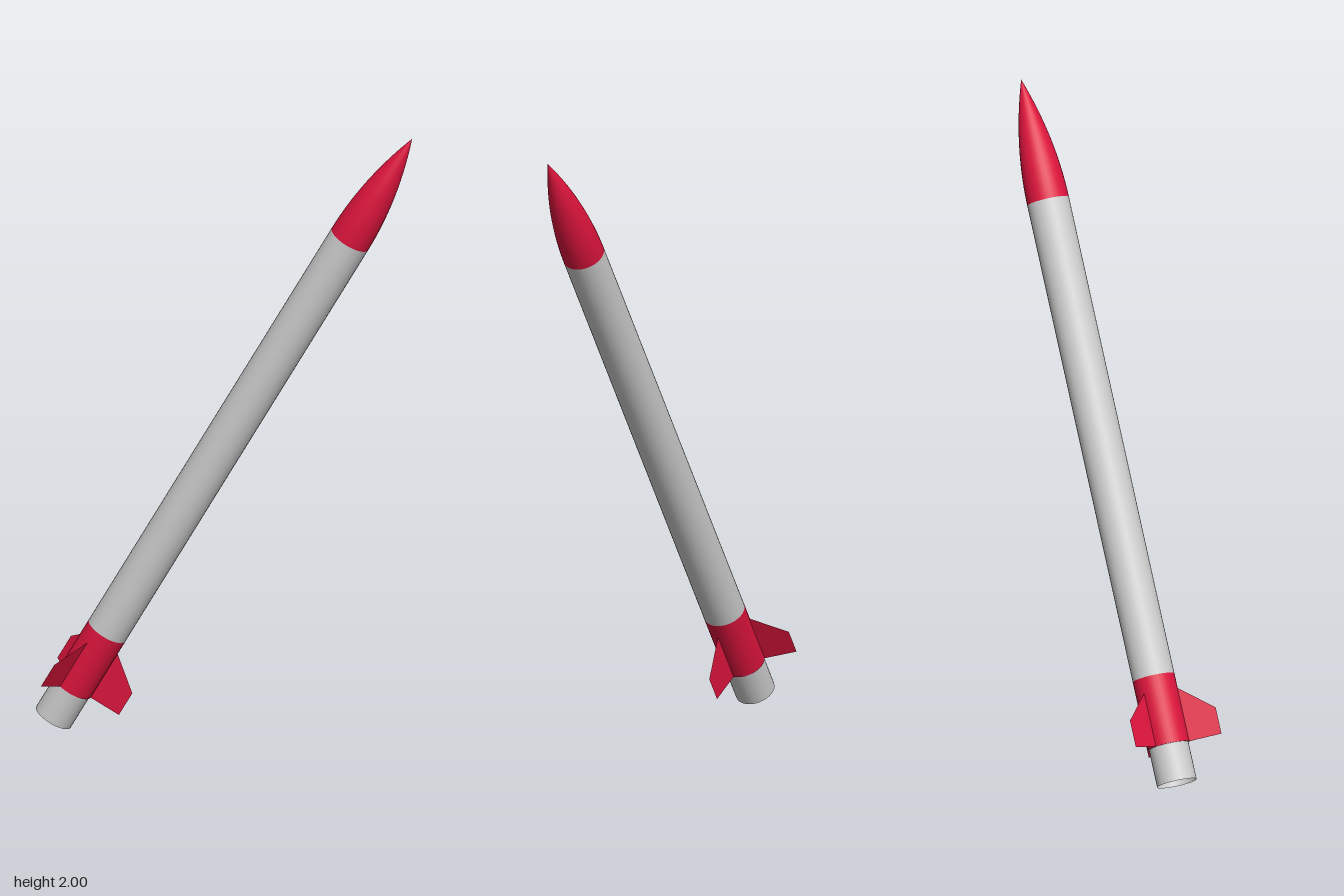
import * as THREE from 'three';

const SEGMENTS = 32;

export function createModel() {
  const model = new THREE.Group();
  model.name = 'rocket';
  const grey = new THREE.MeshStandardMaterial({ color: 0xcccccc, side: THREE.DoubleSide });
  const red = new THREE.MeshStandardMaterial({ color: 0xdc143c, side: THREE.DoubleSide });

  // The rocket is built upright along y, then leaned over as a whole.
  const rocket = new THREE.Group();
  rocket.name = 'leaningRocket';
  rocket.position.set(-0.54, 0.032, 0.001);
  rocket.rotation.set(-0.0035, 0, -Math.PI / 6);
  model.add(rocket);

  function add(name, geometry, material) {
    const mesh = new THREE.Mesh(geometry, material);
    mesh.name = name;
    rocket.add(mesh);
    return mesh;
  }

  function tube(name, radius, bottom, top, material) {
    const geometry = new THREE.CylinderGeometry(radius, radius, top - bottom, SEGMENTS, 1, true);
    geometry.translate(0, (bottom + top) / 2, 0);
    return add(name, geometry, material);
  }

  // Open exhaust nozzle, closed off inside by a bulkhead
  tube('nozzle', 0.063, 0, 0.13, grey);
  const bulkhead = new THREE.CircleGeometry(0.066, SEGMENTS).rotateX(Math.PI / 2);
  add('bulkhead', bulkhead.translate(0, 0.12, 0), grey);

  // Fin collar and long body
  tube('finCollar', 0.0665, 0.12, 0.34, red);
  tube('body', 0.0665, 0.34, 1.877, grey);

  // Parabolic nose cone
  const profile = [];
  for (let i = 0; i <= 14; i++) {
    const t = i / 14;
    profile.push(new THREE.Vector2(0.0665 * (1 - t * t), 1.877 + 0.393 * t));
  }
  add('noseCone', new THREE.LatheGeometry(profile, SEGMENTS), red);

  // Three swept sheet fins, evenly spaced
  const outline = new THREE.Shape([
    new THREE.Vector2(0.05, 0.12),
    new THREE.Vector2(0.17, 0.12),
    new THREE.Vector2(0.17, 0.205),
    new THREE.Vector2(0.05, 0.305),
  ]);
  const finGeometry = new THREE.ShapeGeometry(outline);
  for (let i = 0; i < 3; i++) {
    add('fin' + (i + 1), finGeometry, red).rotation.y = (i * Math.PI * 2) / 3;
  }

  return model;
}
